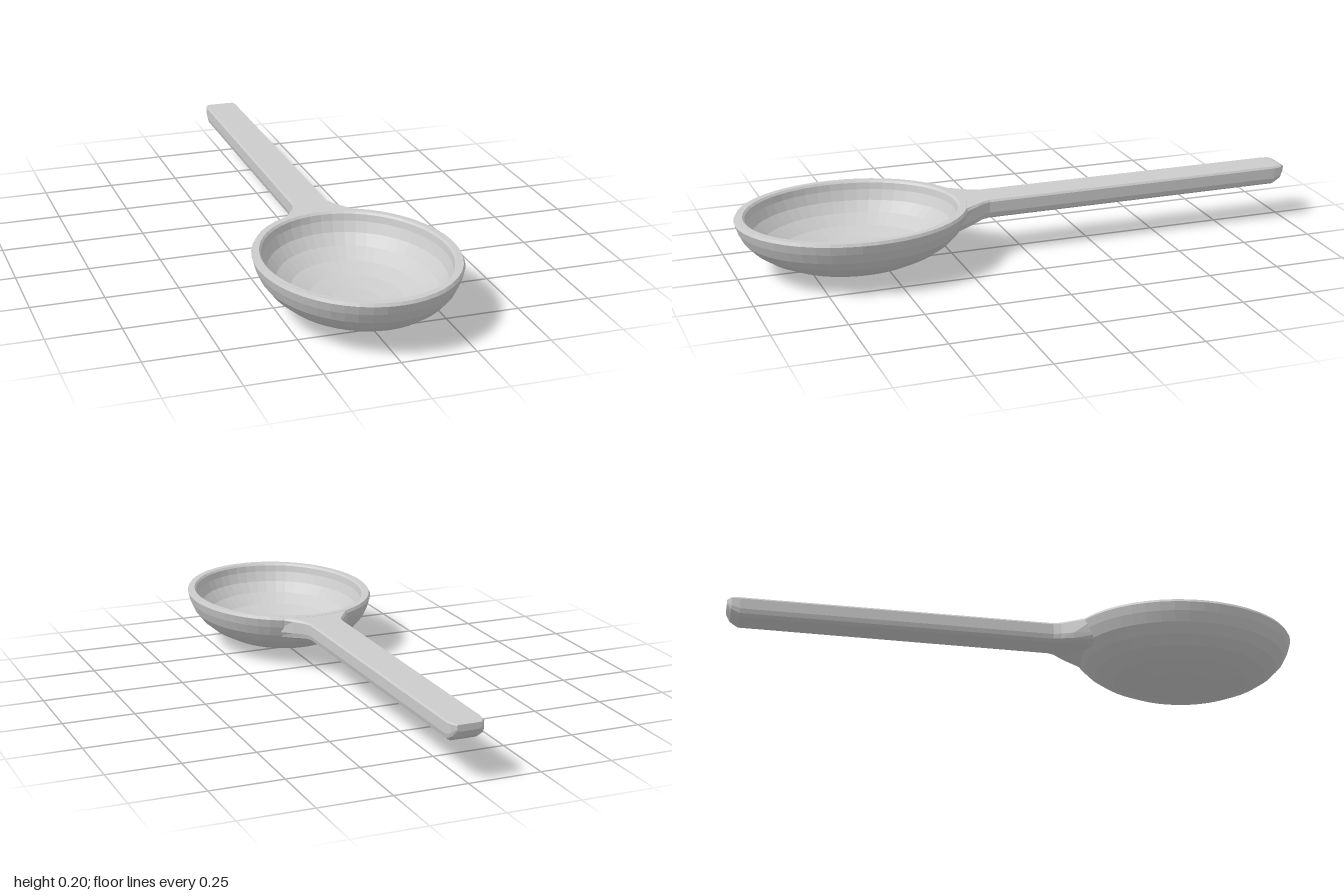
import * as THREE from 'three';

const CENTER_Z = 0.6; // centre of the bowl
const STRETCH = 1.2; // bowl length compared with its width

const material = new THREE.MeshStandardMaterial({ color: 0xcccccc, flatShading: true });

// Oval bowl: outer wall upward, over the rim, inner wall back down
function createBowl() {
  const profile = [
    [0, 0], [0.06, 0.003], [0.125, 0.014], [0.2, 0.037], [0.25, 0.064],
    [0.284, 0.092], [0.31, 0.125], [0.325, 0.16], [0.333, 0.19], [0.328, 0.2],
    [0.308, 0.2], [0.302, 0.193], [0.298, 0.17], [0.284, 0.135], [0.255, 0.1],
    [0.21, 0.068], [0.15, 0.046], [0.08, 0.034], [0, 0.03],
  ].map(([r, y]) => new THREE.Vector2(r, y));
  const geometry = new THREE.LatheGeometry(profile, 48);
  geometry.scale(1, 1, STRETCH);
  geometry.translate(0, 0, CENTER_Z);
  const bowl = new THREE.Mesh(geometry, material);
  bowl.name = 'bowl';
  return bowl;
}

// Cross-section with a flat top and bevelled lower edges, counterclockwise
function section(w, bottom, top) {
  const h = top - bottom;
  const half = [
    [0.72 * w, bottom], [0.93 * w, bottom + 0.12 * h], [w, bottom + 0.35 * h],
    [w, top - 0.1 * h], [0.92 * w, top],
  ];
  const mirrored = half.map(([x, y]) => [-x, y]).reverse();
  return [[0, bottom], ...half, [0, top], ...mirrored];
}

// Depth at which the neck disappears inside the bowl wall
function wallZ(x, y) {
  const r = 0.318 - 0.046 * Math.pow((0.2 - y) / 0.1, 1.6);
  return CENTER_Z - STRETCH * Math.sqrt(r * r - x * x);
}

// Handle with a blunt bevelled tip, flaring into the bowl
function createHandle() {
  // z, half width, bottom, top; a null z follows the bowl wall
  const stations = [
    [-1, 0.042, 0.172, 0.194],
    [-0.985, 0.056, 0.148, 0.199],
    [-0.957, 0.06, 0.131, 0.199],
    [0.13, 0.063, 0.13, 0.199],
    [0.155, 0.073, 0.129, 0.199],
    [0.195, 0.1, 0.122, 0.199],
    [null, 0.145, 0.1, 0.199],
  ];
  const positions = [];
  const indices = [];
  let n = 0;
  stations.forEach(([z, w, bottom, top]) => {
    const ring = section(w, bottom, top);
    n = ring.length;
    ring.forEach(([x, y]) => positions.push(x, y, z === null ? wallZ(x, y) : z));
  });
  for (let s = 0; s < stations.length - 1; s++) {
    for (let i = 0; i < n; i++) {
      const a = s * n + i;
      const b = s * n + ((i + 1) % n);
      indices.push(a, b, a + n, b, b + n, a + n);
    }
  }
  // Tip cap
  for (let i = 1; i < n - 1; i++) indices.push(0, i + 1, i);

  const geometry = new THREE.BufferGeometry();
  geometry.setAttribute('position', new THREE.Float32BufferAttribute(positions, 3));
  geometry.setIndex(indices);
  geometry.computeVertexNormals();
  const handle = new THREE.Mesh(geometry, material);
  handle.name = 'handle';
  return handle;
}

export function createModel() {
  const group = new THREE.Group();
  group.name = 'spoon';
  group.add(createBowl(), createHandle());
  return group;
}
